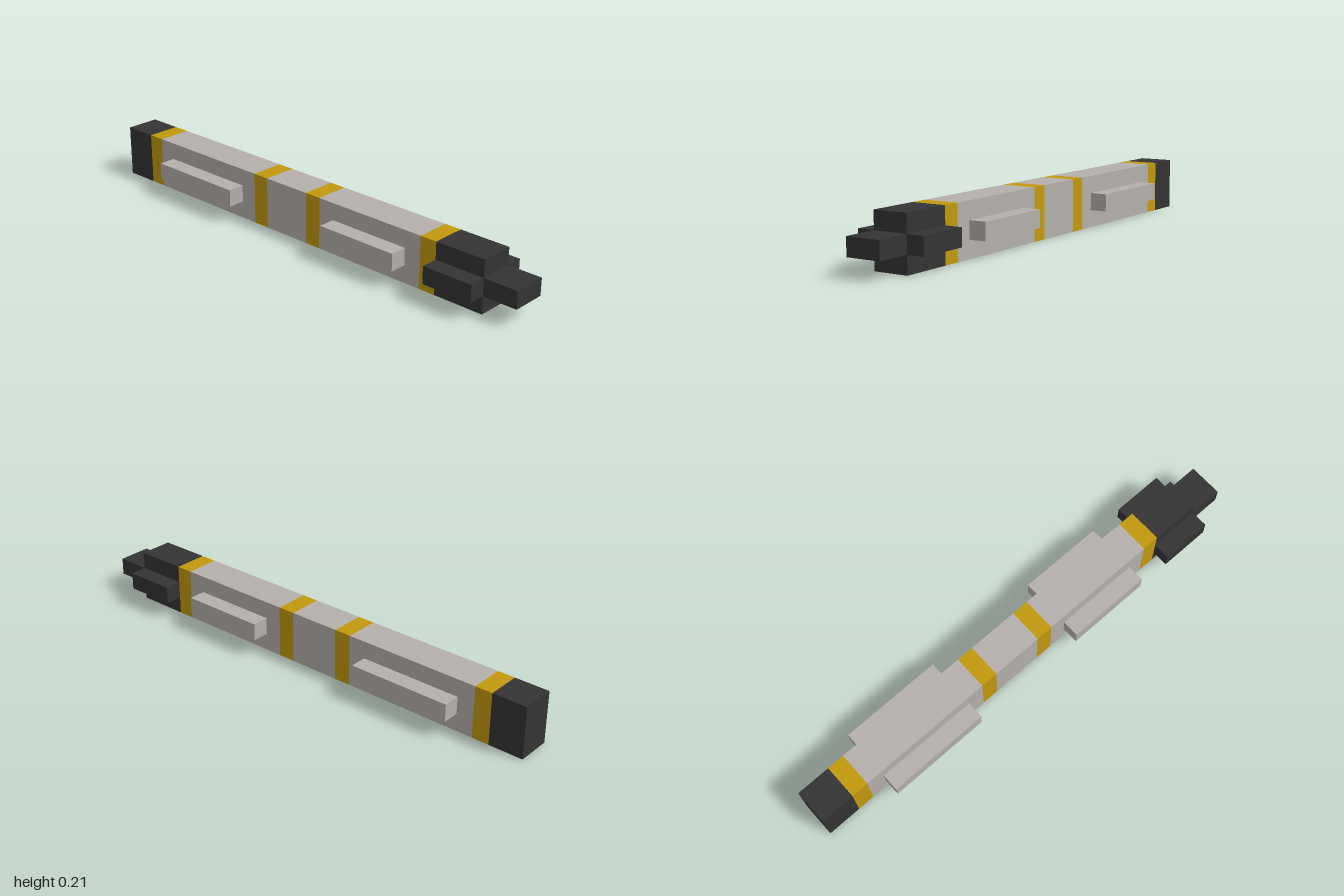
import * as THREE from 'three';

const U = 2 / 29; // the model is 29 equal units long

export function createModel() {
  const group = new THREE.Group();
  const material = (name, color) => {
    const m = new THREE.MeshStandardMaterial({ color });
    m.name = name;
    return m;
  };
  const dark = material('dark grey', 0x343434);
  const gold = material('gold', 0xc1990d);
  const grey = material('warm grey', 0xb4afaa);

  // Box given by its limits in units; z is counted from the back end
  const box = (name, mat, [x0, x1], [y0, y1], [z0, z1]) => {
    const mesh = new THREE.Mesh(
      new THREE.BoxGeometry((x1 - x0) * U, (y1 - y0) * U, (z1 - z0) * U), mat);
    mesh.position.set((x0 + x1) / 2 * U, (y0 + y1) / 2 * U, (z0 + z1) / 2 * U - 1);
    mesh.name = name;
    group.add(mesh);
  };

  // Shaft: consecutive sections from back to front
  const sections = [
    ['endCap', dark, 2], ['rearBand', gold, 1], ['rearGrip', grey, 8],
    ['midRearBand', gold, 1], ['middle', grey, 3], ['midFrontBand', gold, 1],
    ['frontGrip', grey, 7], ['frontBand', gold, 1], ['head', dark, 3],
  ];
  let z = 0;
  for (const [name, mat, length] of sections) {
    box(name, mat, [-1, 1], [0, 3], [z, z + length]);
    z += length;
  }

  // Tip in front of the head
  box('tip', dark, [-1, 1], [1, 2], [27, 29]);

  // Mirrored side rails and head blocks
  for (const [side, x] of [['left', [1, 2]], ['right', [-2, -1]]]) {
    box(side + 'RearRail', grey, x, [1, 2], [4, 10]);
    box(side + 'FrontRail', grey, x, [1, 2], [17, 22]);
    box(side + 'HeadBlock', dark, x, [1, 2], [24, 27]);
  }
  return group;
}
